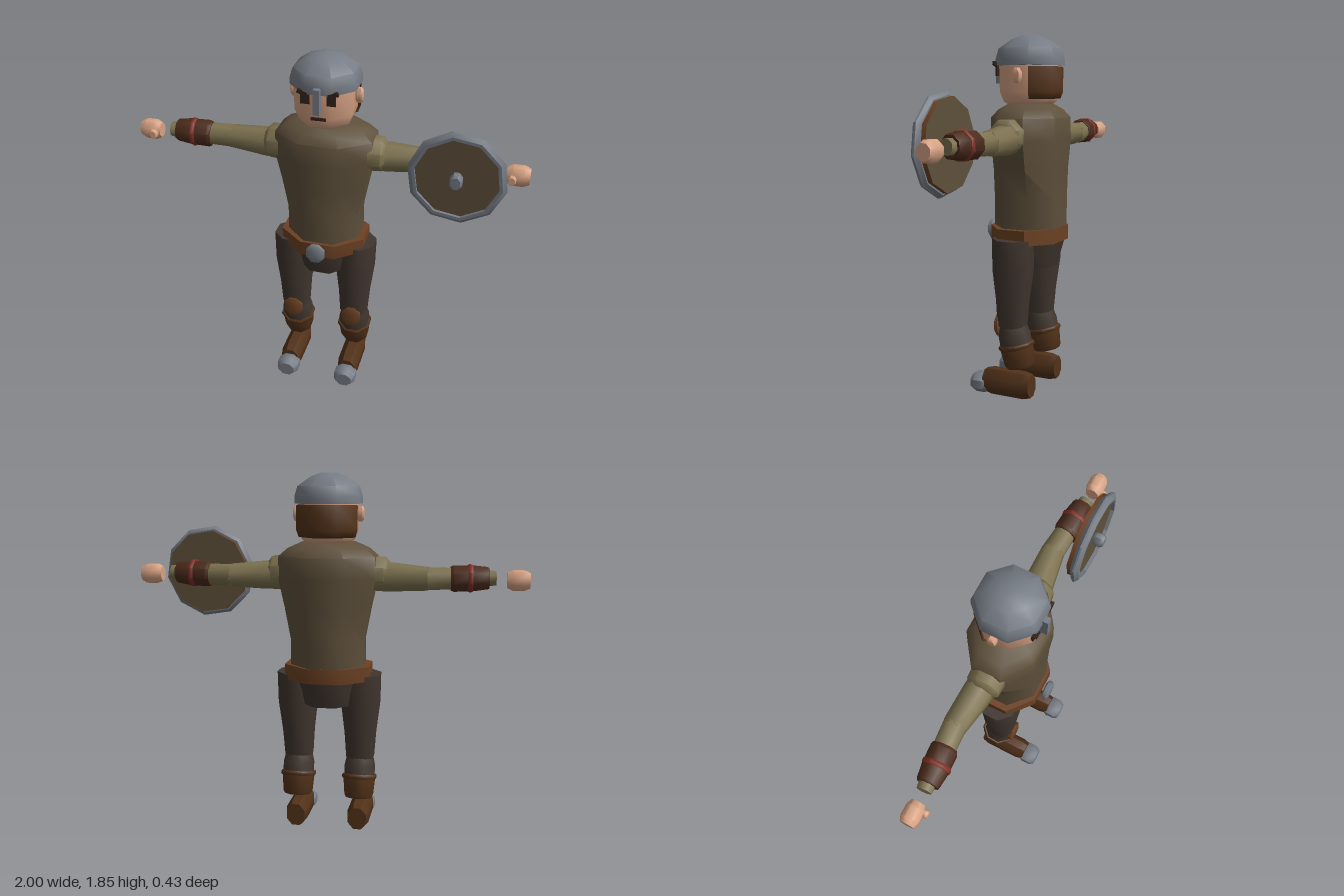
import * as THREE from 'three';
import { toCreasedNormals } from 'three/addons/utils/BufferGeometryUtils.js';

const colour = (name, hex) => {
  const m = new THREE.MeshStandardMaterial({ color: hex });
  m.name = name;
  return m;
};
const M = {
  skin: colour('skin', 0xd8a384),
  steel: colour('steel', 0x767c85),
  tunic: colour('tunic cloth', 0x5e503b),
  sleeve: colour('sleeve cloth', 0x7d7250),
  trousers: colour('trouser cloth', 0x41362f),
  belt: colour('tan leather', 0x6c4123),
  boot: colour('brown leather', 0x523219),
  bracer: colour('dark leather', 0x4b2b1c),
  red: colour('red strap', 0x7d3026),
  dark: colour('dark features', 0x33231c),
};
const FLAT = Math.cos(Math.PI / 8); // corner radius to flat radius of an octagon
const UP = new THREE.Vector3(0, 1, 0);

export function createModel() {
  const root = new THREE.Group();
  root.name = 'shieldBearer';

  const add = (name, geo, mat, x = 0, y = 0, z = 0) => {
    const mesh = new THREE.Mesh(geo, mat);
    mesh.name = name;
    mesh.position.set(x, y, z);
    root.add(mesh);
    return mesh;
  };

  // Octagonal solid of [radius, height] rings, with flats facing the axes
  const octagon = (rings, sx = 1, sz = 1) => {
    const pts = rings.map(([r, y]) => new THREE.Vector2(r / FLAT, y));
    pts.unshift(new THREE.Vector2(0, pts[0].y));
    pts.push(new THREE.Vector2(0, pts[pts.length - 1].y));
    const geo = new THREE.LatheGeometry(pts, 8, Math.PI / 8);
    return toCreasedNormals(geo.scale(sx, 1, sz), 0.85);
  };

  // Octagonal limb from a to b, radii given as [radius, fraction of length]
  const limb = (name, mat, a, b, rings) => {
    const from = new THREE.Vector3(...a);
    const dir = new THREE.Vector3(...b).sub(from);
    const len = dir.length();
    const mesh = add(name, octagon(rings.map(([r, t]) => [r, t * len])), mat, ...a);
    mesh.quaternion.setFromUnitVectors(UP, dir.normalize());
    return mesh;
  };

  // Bevelled octagonal pad centred at a point; depth runs along x or z
  const pad = (name, mat, [x, y, z], [w, h, d], axis = 'z', bevel = 0.25) => {
    const depth = axis === 'z' ? d : w;
    const e = 1 - bevel;
    const geo = octagon(
      [[e, -depth / 2], [1, -depth / 2 + depth * bevel], [1, depth / 2 - depth * bevel], [e, depth / 2]],
      axis === 'z' ? w / 2 : h / 2,
      axis === 'z' ? h / 2 : d / 2,
    );
    if (axis === 'z') geo.rotateX(Math.PI / 2);
    else geo.rotateZ(-Math.PI / 2);
    return add(name, geo, mat, x, y, z);
  };

  const box = (name, mat, [x, y, z], [w, h, d]) =>
    add(name, new THREE.BoxGeometry(w, h, d), mat, x, y, z);

  // Torso, belt and hips
  add('tunic', octagon([[0.185, 0.84], [0.185, 1.02], [0.215, 1.18], [0.248, 1.33],
    [0.245, 1.44], [0.2, 1.48], [0.13, 1.512]], 1, 0.72), M.tunic, 0, 0, -0.035);
  // Even front-to-back depth down to the waist
  const tunicPos = root.children[0].geometry.attributes.position;
  for (let i = 0; i < tunicPos.count; i++) {
    const y = tunicPos.getY(i);
    if (y < 1.33) {
      const half = y < 1.03 ? 0.185 : 0.215;
      tunicPos.setZ(i, tunicPos.getZ(i) * (y > 1.3 ? 1 : 0.17 / (half * 0.72)));
    }
  }
  root.children[0].geometry = toCreasedNormals(root.children[0].geometry, 0.85);
  add('belt', octagon([[0.218, 0.808], [0.218, 0.885]], 1, 0.82), M.belt, 0, 0, -0.028);
  pad('buckle', M.steel, [0, 0.85, 0.183], [0.094, 0.1, 0.035]);
  add('hips', octagon([[0.13, 0.675], [0.165, 0.82]], 1, 0.95), M.trousers, 0, 0, -0.03)
    .geometry.scale(1, 1, 1.08);

  // Head and helmet
  add('head', octagon([[0.095, 1.5], [0.125, 1.52], [0.143, 1.57], [0.147, 1.72]]),
    M.skin, 0, 0, -0.03);
  add('helmet', octagon([[0.162, 1.7], [0.162, 1.735], [0.148, 1.785], [0.085, 1.832], [0.04, 1.85]]),
    M.steel, 0, 0, -0.03);
  const hairProfile = [[0.1, 1.53], [0.155, 1.535], [0.168, 1.57], [0.168, 1.69], [0.13, 1.71]];
  const hair = new THREE.LatheGeometry(hairProfile.map((p) => new THREE.Vector2(...p)),
    3, Math.PI * 0.625, Math.PI * 0.75);
  const hairMat = M.boot.clone();
  hairMat.name = 'hair';
  hairMat.side = THREE.DoubleSide;
  add('hair', hair, hairMat, 0, 0, -0.03);
  box('noseGuard', M.steel, [0, 1.672, 0.138], [0.03, 0.125, 0.04]);
  box('mouth', M.dark, [0, 1.572, 0.115], [0.074, 0.015, 0.009]);

  for (const s of [-1, 1]) {
    const side = s > 0 ? 'left' : 'right';

    // Face
    box(side + 'Eye', M.dark, [s * 0.063, 1.67, 0.119], [0.044, 0.046, 0.009]);
    const brow = box(side + 'Brow', M.dark, [s * 0.075, 1.705, 0.126], [0.05, 0.02, 0.015]);
    brow.rotation.z = s * 0.35;
    pad(side + 'Ear', M.skin, [s * 0.162, 1.65, -0.037], [0.034, 0.075, 0.044], 'x');

    // Arm
    limb(side + 'Shoulder', M.sleeve, [s * 0.2, 1.355, -0.03], [s * 0.31, 1.355, -0.03],
      [[0.085, 0], [0.08, 0.8], [0.055, 1]]);
    limb(side + 'UpperArm', M.sleeve, [s * 0.25, 1.34, -0.035], [s * 0.51, 1.335, -0.06],
      [[0.07, 0], [0.068, 0.3], [0.055, 1]]);
    limb(side + 'Forearm', M.sleeve, [s * 0.5, 1.335, -0.06], [s * 0.835, 1.342, -0.035],
      [[0.055, 0], [0.052, 0.4], [0.035, 1]]);
    limb(side + 'Bracer', M.bracer, [s * 0.615, 1.337, -0.048], [s * 0.802, 1.342, -0.036],
      [[0.058, 0], [0.064, 0.08], [0.062, 0.6], [0.054, 0.95], [0.05, 1]]);
    limb(side + 'BracerStrap', M.red, [s * 0.697, 1.34, -0.042], [s * 0.722, 1.34, -0.04],
      [[0.064, 0], [0.068, 0.3], [0.068, 0.7], [0.064, 1]]);
    pad(side + 'Hand', M.skin, [s * 0.945, 1.332, -0.03], [0.11, 0.098, 0.088], 'x');
    pad(side + 'Thumb', M.skin, [s * 0.918, 1.326, 0.012], [0.04, 0.05, 0.04], 'z');

    // Leg
    const x = s * 0.165;
    limb(side + 'Thigh', M.trousers, [x, 0.38, -0.01], [s * 0.168, 0.835, -0.018],
      [[0.071, 0], [0.08, 0.3], [0.098, 0.65], [0.1, 1]]);
    limb(side + 'Shin', M.trousers, [x, 0.24, -0.04], [x, 0.385, -0.012],
      [[0.077, 0], [0.077, 0.65], [0.066, 1]]);
    pad(side + 'KneePad', M.belt, [x, 0.38, 0.061], [0.1, 0.12, 0.032]);
    limb(side + 'BootShaft', M.boot, [x, 0.167, -0.054], [x, 0.285, -0.032],
      [[0.066, 0], [0.073, 0.12], [0.08, 0.8], [0.08, 1]]);
    limb(side + 'BootCuff', M.boot, [x, 0.265, -0.037], [x, 0.288, -0.031],
      [[0.084, 0], [0.088, 0.3], [0.088, 0.7], [0.084, 1]]);
    pad(side + 'Shoe', M.boot, [x, 0.068, 0.012], [0.112, 0.136, 0.265], 'z', 0.15);
    pad(side + 'ToeCap', M.steel, [x, 0.05, 0.169], [0.115, 0.1, 0.1]);
  }

  // Shield on the left arm
  const turn = (geo) => geo.rotateY(Math.PI / 20).rotateX(Math.PI / 2);
  const shield = [0.668, 1.338];
  add('shieldBoard', turn(new THREE.CylinderGeometry(0.218, 0.218, 0.05, 10)),
    [M.belt, M.tunic, M.tunic], ...shield, 0.064);
  const rim = [[0.206, -0.022], [0.226, -0.022], [0.242, -0.005], [0.242, 0.005],
    [0.222, 0.022], [0.206, 0.022], [0.206, -0.022]].map((p) => new THREE.Vector2(...p));
  add('shieldRim', toCreasedNormals(turn(new THREE.LatheGeometry(rim, 10)), 0.5),
    M.steel, ...shield, 0.084);
  pad('shieldBoss', M.steel, [0.668, 1.338, 0.115], [0.06, 0.078, 0.06]);

  return root;
}
